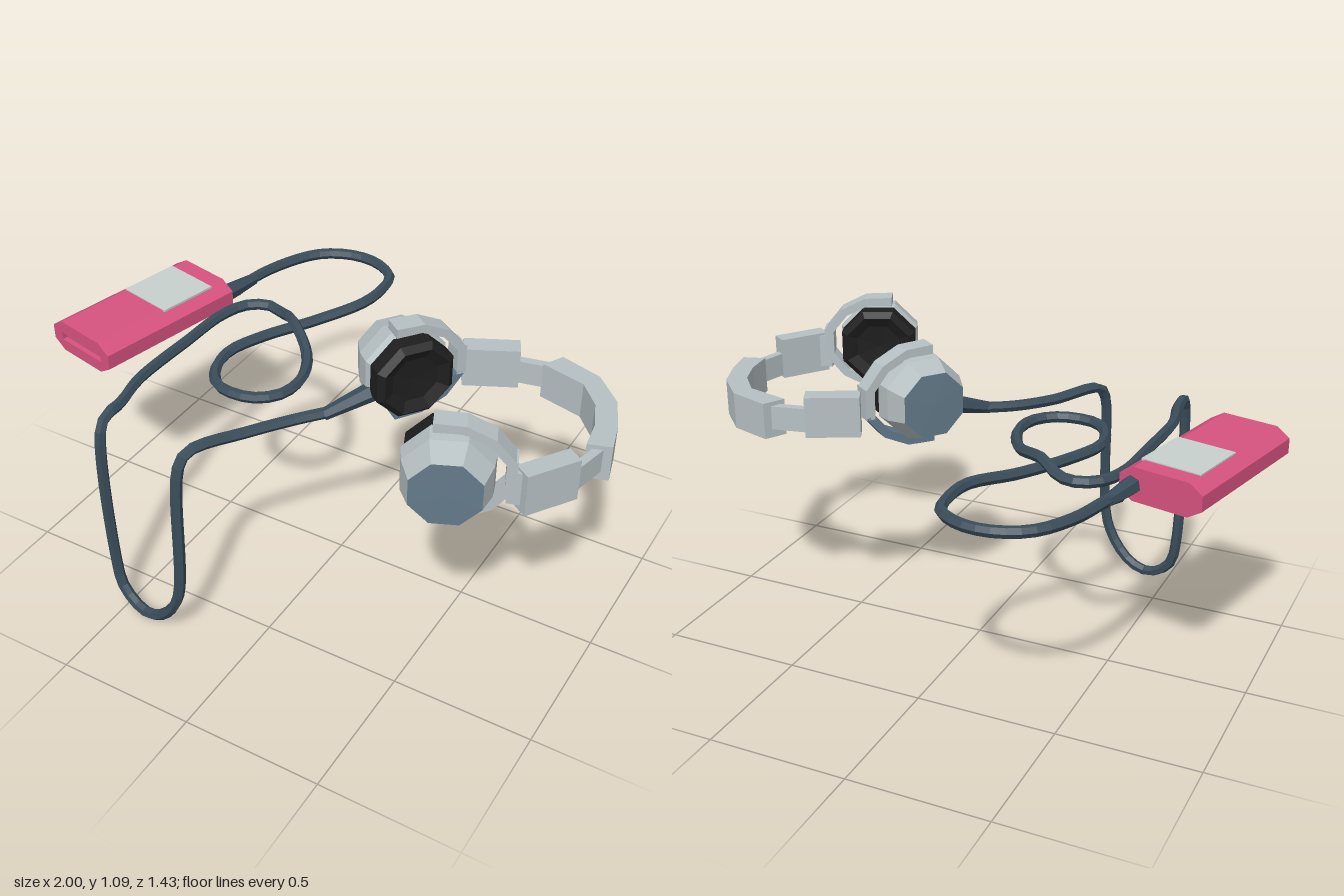
import * as THREE from 'three';

const mat = (color) => new THREE.MeshStandardMaterial({ color, flatShading: true });
const pink = mat(0xd6527f), slate = mat(0x3a4d5a), blue = mat(0x647a8a);
const black = mat(0x1e1e1e), grey = mat(0xb6c0c3), glass = mat(0xc8d0cd);
const V = (x, y, z) => new THREE.Vector3(x, y, z);

function add(parent, name, geometry, material) {
  const mesh = new THREE.Mesh(geometry, material);
  mesh.name = name;
  parent.add(mesh);
  return mesh;
}

const shapeOf = (pts) => new THREE.Shape(pts.map(([x, y]) => new THREE.Vector2(x, y)));
const extrude = (shape, depth) => new THREE.ExtrudeGeometry(shape, { depth, bevelEnabled: false });

// Upright box running from a to b in plan
function bar(parent, name, a, b, thick, height) {
  const mesh = add(parent, name, new THREE.BoxGeometry(thick, height, a.distanceTo(b)), grey);
  mesh.position.copy(a).lerp(b, 0.5);
  mesh.rotation.y = Math.atan2(b.x - a.x, b.z - a.z);
}

// Tapered sleeve from a to b
function sleeve(parent, name, a, b, r1, r2) {
  const mesh = add(parent, name, new THREE.CylinderGeometry(r2, r1, a.distanceTo(b), 6), slate);
  mesh.position.copy(a).lerp(b, 0.5);
  mesh.quaternion.setFromUnitVectors(V(0, 1, 0), b.clone().sub(a).normalize());
}

// Flat player with chamfered long sides, a slot in the front end and a screen
function makePlayer() {
  const player = new THREE.Group();
  player.name = 'player';
  const w = 0.15, h = 0.059, cx = 0.05, cy = 0.032;
  const outline = [[w, cy - h], [w, h - cy], [w - cx, h], [cx - w, h],
    [-w, h - cy], [-w, cy - h], [cx - w, -h], [w - cx, -h]];
  const body = add(player, 'playerBody', extrude(shapeOf(outline), 0.565), pink);
  body.position.z = -0.292;
  const end = shapeOf(outline);
  end.holes.push(new THREE.Path([[-0.105, -0.016], [-0.105, 0.014], [0.105, 0.014], [0.105, -0.016]]
    .map(([x, y]) => new THREE.Vector2(x, y))));
  add(player, 'slotRim', extrude(end, 0.019), pink).position.z = 0.273;
  add(player, 'screen', new THREE.BoxGeometry(0.215, 0.008, 0.225), glass).position.set(0.005, h, -0.112);
  player.position.set(-0.79, 0.804, 0.053);
  player.rotation.y = -0.224;
  return player;
}

// Ear cup: local z points outward, side is the local x direction of the band
function makeCup(name, side, lowerArmMaterial) {
  const cup = new THREE.Group();
  cup.name = name;
  const turned = (part, profile, material) => {
    const g = new THREE.LatheGeometry(profile.map(([r, z]) => new THREE.Vector2(r, z)), 8, Math.PI / 8);
    add(cup, part, g.rotateX(Math.PI / 2), material);
  };
  turned('earPad', [[0, -0.07], [0.085, -0.075], [0.125, -0.095], [0.147, -0.075], [0.147, -0.02], [0, -0.02]], black);
  turned('cupHousing', [[0, -0.03], [0.14, -0.03], [0.156, 0], [0.15, 0.06], [0.12, 0.14]], grey);
  turned('cupCap', [[0.12, 0.14], [0, 0.142]], blue);

  // C-shaped yoke: upper and lower arms joined by a post on the band side
  const arm = [[-0.05, 0.145], [-0.05, 0.178], [0.05, 0.174], [0.14, 0.13], [0.205, 0.05],
    [0.175, 0.04], [0.12, 0.107], [0.04, 0.145]];
  for (const s of [1, -1]) {
    const pts = arm.map(([x, y]) => [x * side, y * s]);
    add(cup, s > 0 ? 'upperYokeArm' : 'lowerYokeArm', extrude(shapeOf(pts), 0.07),
      s > 0 ? grey : lowerArmMaterial).position.z = -0.035;
  }
  add(cup, 'yokePost', new THREE.BoxGeometry(0.034, 0.11, 0.07), grey).position.set(0.19 * side, 0, 0);
  return cup;
}

function makeHeadphones() {
  const set = new THREE.Group();
  set.name = 'headphones';
  const a = makeCup('rightEarCup', -1, blue);
  a.position.set(0.245, 0.9, 0);
  a.rotation.y = Math.atan2(-0.8, -0.6);
  const b = makeCup('leftEarCup', 1, grey);
  b.position.set(0.61, 0.914, 0.41);
  b.rotation.y = 0.41;
  set.add(a, b);

  // Sliders and the thin links to the band
  bar(set, 'rightSlider', V(0.37, 0.867, -0.175), V(0.54, 0.857, -0.258), 0.07, 0.145);
  bar(set, 'leftSlider', V(0.825, 0.867, 0.355), V(0.93, 0.867, 0.2), 0.065, 0.15);
  bar(set, 'leftSliderEnd', V(0.78, 0.875, 0.345), V(0.85, 0.87, 0.325), 0.05, 0.12);
  bar(set, 'rightLink', V(0.52, 0.845, -0.25), V(0.67, 0.84, -0.28), 0.03, 0.085);
  bar(set, 'leftLink', V(0.92, 0.845, 0.22), V(0.96, 0.84, 0.05), 0.03, 0.085);

  // Curved headband
  const band = shapeOf([[0.67, -0.318], [0.82, -0.272], [0.92, -0.17], [0.97, -0.05], [0.998, 0.06],
    [0.92, 0.085], [0.905, -0.02], [0.865, -0.12], [0.79, -0.205], [0.63, -0.245]]);
  add(set, 'headband', extrude(band, 0.13).rotateX(Math.PI / 2), grey).position.y = 0.9;
  return set;
}

// Cable: flat loops on the table, then a drop over the edge and back up
function makeCable() {
  const cable = new THREE.Group();
  cable.name = 'cable';
  const y = 0.79;
  const outgoing = [[-0.61, -0.27], [-0.595, -0.35], [-0.55, -0.51], [-0.47, -0.64], [-0.36, -0.695],
    [-0.25, -0.69], [-0.16, -0.63], [-0.14, -0.55], [-0.15, -0.42], [-0.25, -0.25], [-0.36, -0.06],
    [-0.41, 0.08], [-0.385, 0.2], [-0.32, 0.27], [-0.19, 0.27], [-0.115, 0.2], [-0.105, 0.09],
    [-0.17, -0.05]].map(([x, z]) => V(x, z < -0.3 ? 0.8 : 0.785, z));
  const crossing = [V(-0.305, 0.815, -0.17)];
  const returning = [[-0.38, -0.22], [-0.45, -0.24], [-0.52, -0.2], [-0.56, -0.1], [-0.57, 0.1],
    [-0.575, 0.38], [-0.545, 0.52]].map(([x, z]) => V(x, y, z));
  const drop = [V(-0.54, y, 0.61), V(-0.538, 0.75, 0.642), V(-0.535, 0.18, 0.645), V(-0.515, 0.09, 0.65),
    V(-0.46, 0.038, 0.66), V(-0.405, 0.024, 0.67), V(-0.33, 0.055, 0.68), V(-0.24, 0.19, 0.69),
    V(-0.22, 0.74, 0.65), V(-0.205, 0.782, 0.61)];
  const rise = [V(-0.1, 0.78, 0.43), V(0, 0.785, 0.3), V(0.09, 0.795, 0.21)];
  const path = new THREE.CatmullRomCurve3([...outgoing, ...crossing, ...returning, ...drop, ...rise]);
  add(cable, 'cord', new THREE.TubeGeometry(path, 130, 0.02, 6), slate);
  sleeve(cable, 'plug', V(-0.628, 0.8, -0.19), V(-0.592, 0.798, -0.36), 0.035, 0.021);
  sleeve(cable, 'cupSleeve', V(0.19, 0.845, 0.08), V(0.07, 0.79, 0.235), 0.036, 0.021);
  return cable;
}

export function createModel() {
  const model = new THREE.Group();
  model.name = 'musicPlayerWithHeadphones';
  model.add(makePlayer(), makeHeadphones(), makeCable());
  return model;
}
